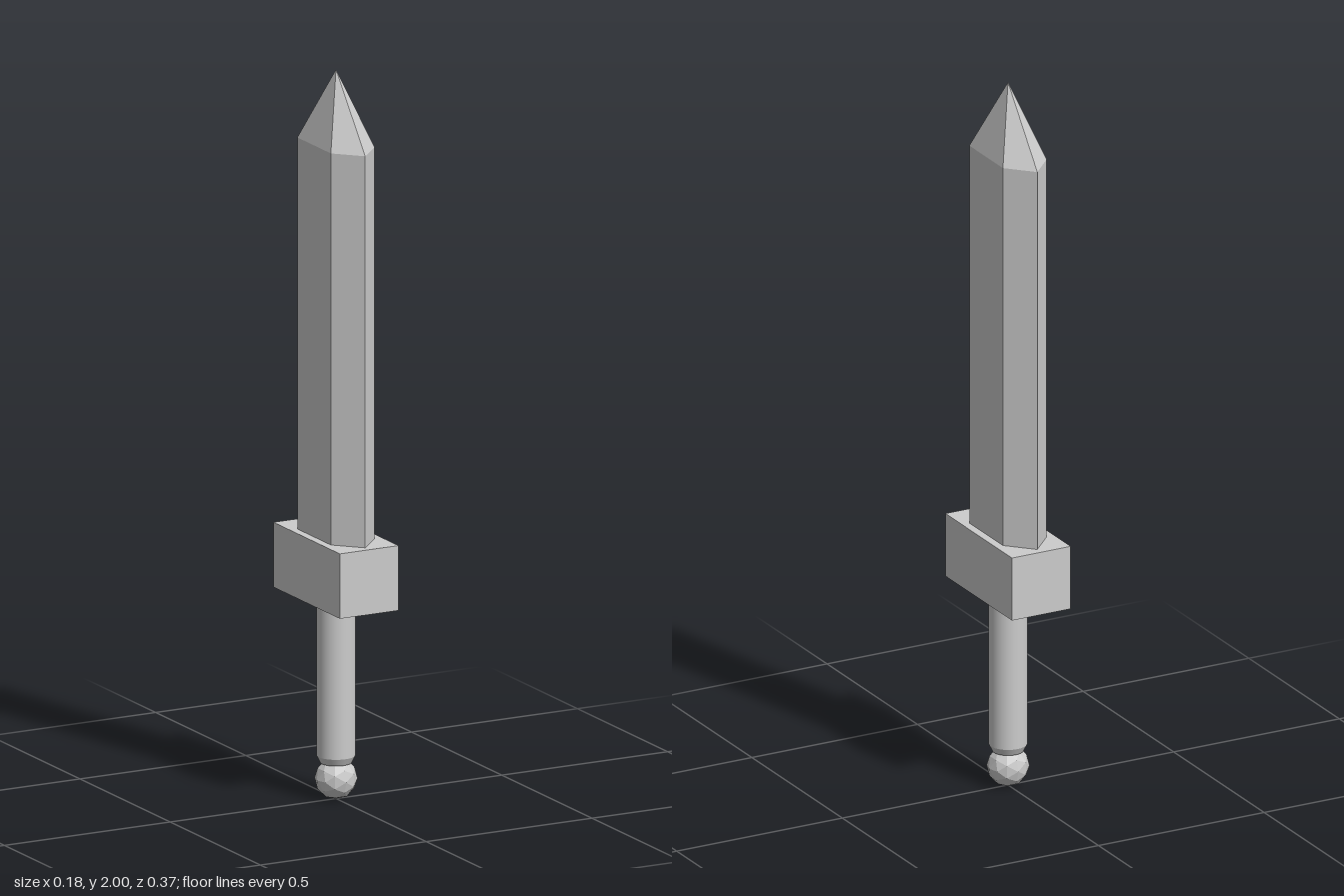
import * as THREE from 'three';

const steel = new THREE.MeshStandardMaterial({ color: 0xcccccc });
steel.name = 'steel grey';

// Hexagonal blade: straight sides between two rings, then a pointed tip
function bladeGeometry(bottom, shoulder, tip) {
  const ring = [[0, 0.162], [0.066, 0.093], [0.066, -0.093], [0, -0.162], [-0.066, -0.093], [-0.066, 0.093]];
  const positions = [];
  ring.forEach(([ax, az], i) => {
    const [bx, bz] = ring[(i + 1) % ring.length];
    positions.push(
      ax, bottom, az, bx, bottom, bz, bx, shoulder, bz,
      ax, bottom, az, bx, shoulder, bz, ax, shoulder, az,
      ax, shoulder, az, bx, shoulder, bz, 0, tip, 0,
    );
  });
  const geometry = new THREE.BufferGeometry();
  geometry.setAttribute('position', new THREE.Float32BufferAttribute(positions, 3));
  geometry.computeVertexNormals(); // unshared corners keep the facets flat
  return geometry;
}

export function createModel() {
  const group = new THREE.Group();
  group.name = 'sword';

  function add(name, geometry, y = 0) {
    const mesh = new THREE.Mesh(geometry, steel);
    mesh.name = name;
    mesh.position.y = y;
    group.add(mesh);
  }

  add('blade', bladeGeometry(0.72, 1.8, 2));
  add('guard', new THREE.BoxGeometry(0.177, 0.178, 0.368), 0.637);

  // Round grip with a narrow chamfer above the pommel
  add('grip', new THREE.CylinderGeometry(0.052, 0.052, 0.435, 32, 1, true), 0.3375);
  add('gripChamfer', new THREE.CylinderGeometry(0.052, 0.042, 0.02, 32), 0.11);

  // Faceted ball
  add('pommel', new THREE.IcosahedronGeometry(0.057, 1), 0.057);
  group.getObjectByName('pommel').geometry.computeVertexNormals();

  return group;
}
